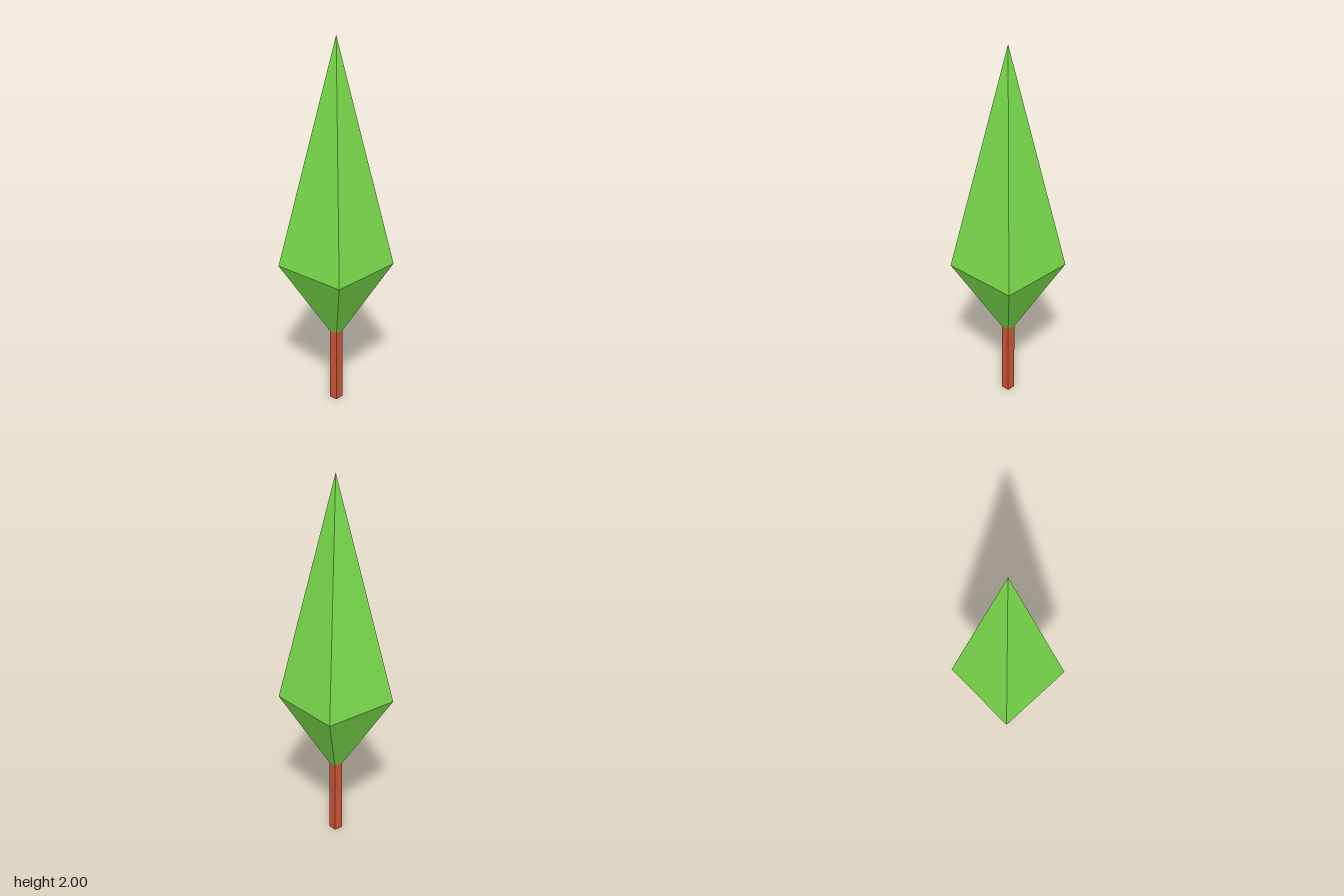
import * as THREE from 'three';

// Four-sided frustum with sides facing the axes, sized by half widths
function squareFrustum(name, material, topHalf, bottomHalf, y0, y1, open) {
  const g = new THREE.CylinderGeometry(
    topHalf * Math.SQRT2, bottomHalf * Math.SQRT2, y1 - y0, 4, 1, open, Math.PI / 4);
  g.translate(0, (y0 + y1) / 2, 0);
  const mesh = new THREE.Mesh(g, material);
  mesh.name = name;
  return mesh;
}

export function createModel() {
  const leaf = new THREE.MeshStandardMaterial({ color: 0x7adb4c, flatShading: true });
  const bark = new THREE.MeshStandardMaterial({ color: 0xcb543a, flatShading: true });

  const trunkHalf = 0.024, crownHalf = 0.212;
  const trunkTop = 0.405, crownWidest = 0.79, height = 2;

  // Crown: tall spire above a short inverted taper
  const crown = new THREE.Group();
  crown.name = 'crown';
  crown.add(
    squareFrustum('upperCrown', leaf, 0, crownHalf, crownWidest, height, true),
    squareFrustum('lowerCrown', leaf, crownHalf, trunkHalf, trunkTop, crownWidest, true));

  // Trunk: slim square post
  const trunk = squareFrustum('trunk', bark, trunkHalf, trunkHalf, 0, trunkTop, false);

  const tree = new THREE.Group();
  tree.name = 'tree';
  tree.add(crown, trunk);
  return tree;
}
